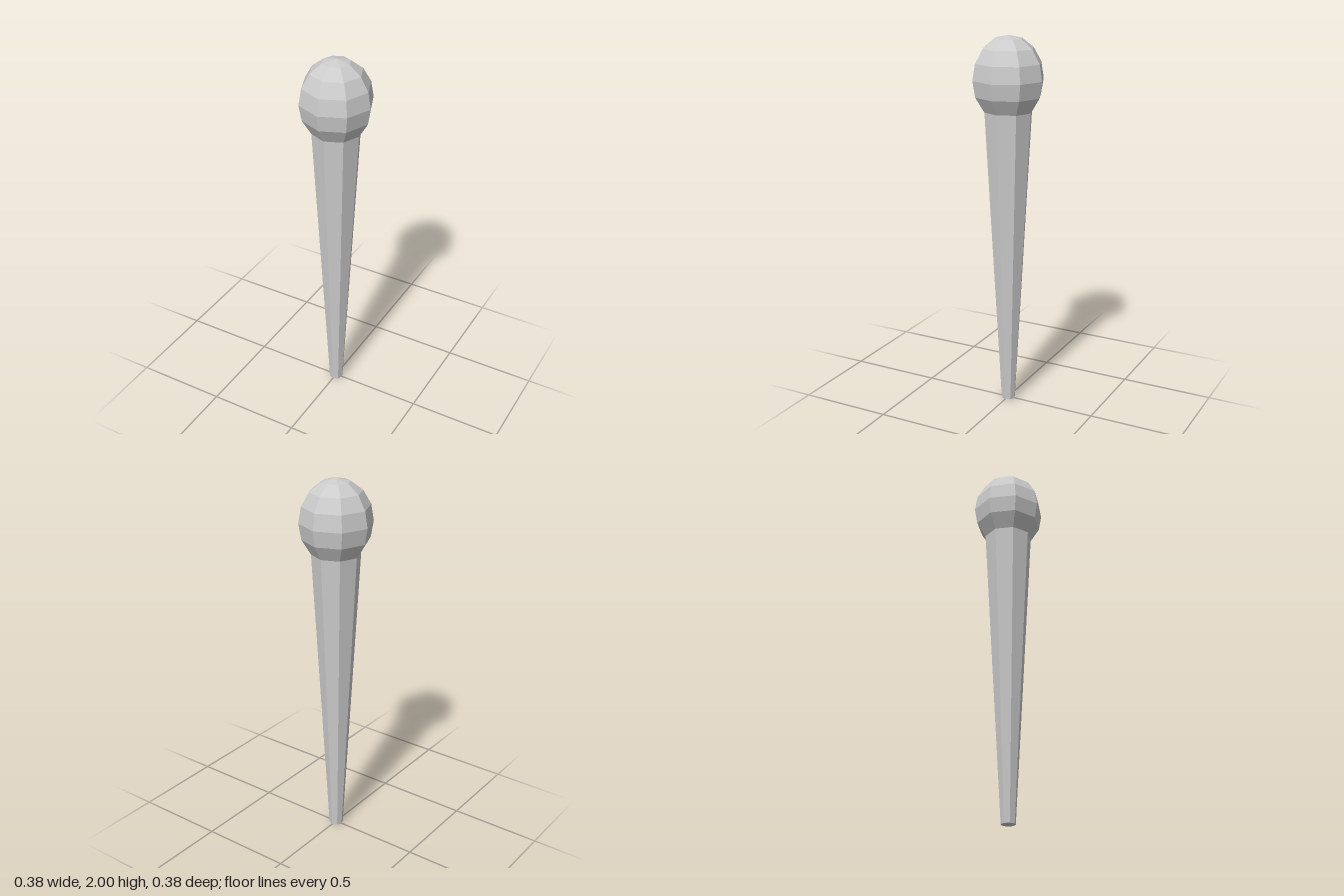
import * as THREE from 'three';

const SIDES = 8;
const NECK_Y = 1.613, NECK_R = 0.128;   // where the head meets the shaft
const HEAD_Y = 1.777, HEAD_R = 0.19, HEAD_H = 0.223;

// Faceted solid of revolution, profile listed from bottom to top
function turned(name, profile, material) {
  const points = profile.map(([r, y]) => new THREE.Vector2(r, y));
  const mesh = new THREE.Mesh(new THREE.LatheGeometry(points, SIDES), material);
  mesh.name = name;
  return mesh;
}

export function createModel() {
  const group = new THREE.Group();
  group.name = 'knobbedClub';
  const material = new THREE.MeshStandardMaterial({ color: 0xcccccc, flatShading: true });

  // Tapered shaft with a closed foot
  group.add(turned('shaft', [[0, 0], [0.038, 0], [NECK_R, NECK_Y]], material));

  // Rounded head: slightly tall ball that runs into the shaft at the neck
  const head = [[NECK_R, NECK_Y]];
  for (let i = -1; i <= 4; i++) {
    const a = i * Math.PI / 8;
    head.push([i === 4 ? 0 : HEAD_R * Math.cos(a), HEAD_Y + HEAD_H * Math.sin(a)]);
  }
  group.add(turned('head', head, material));

  return group;
}
